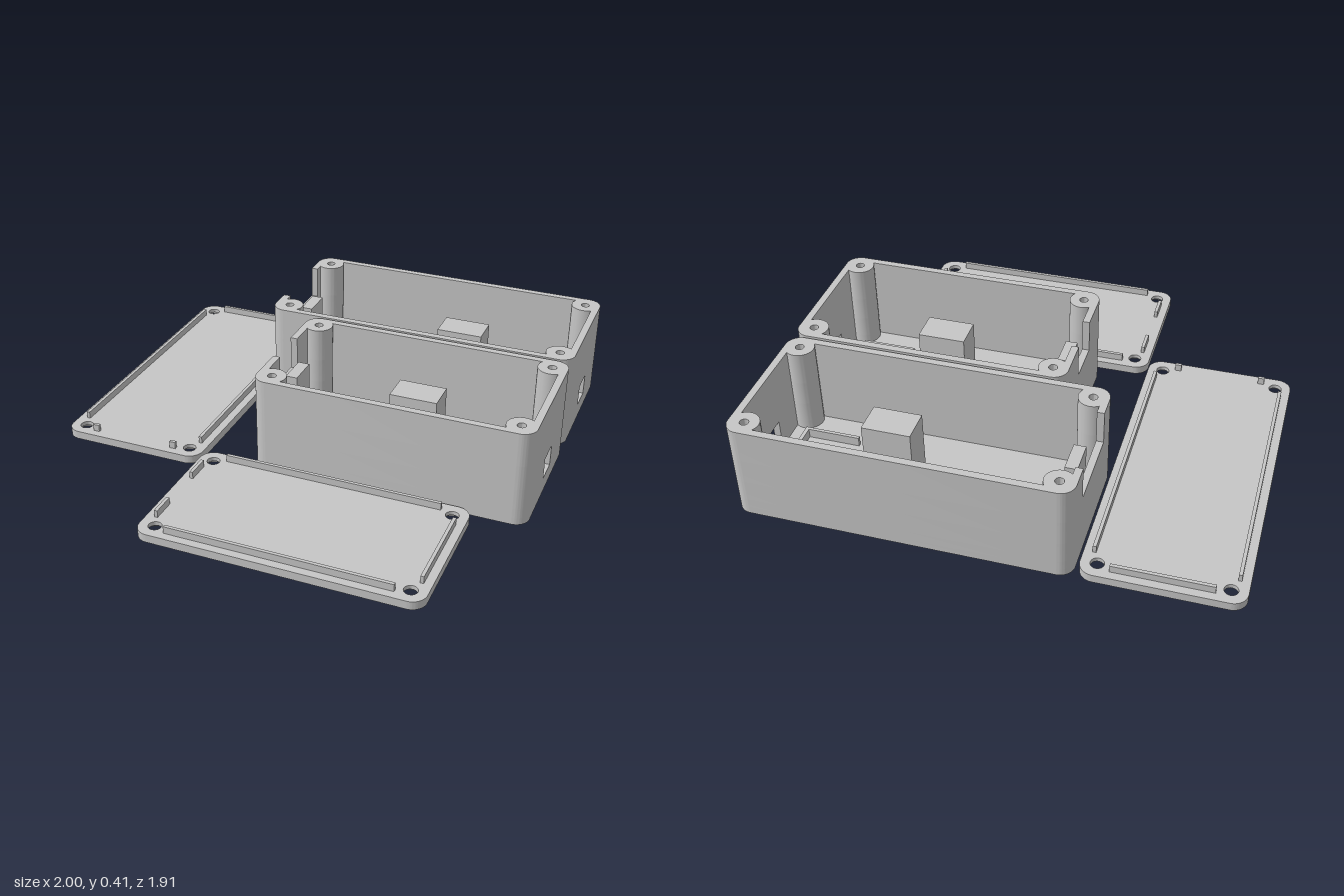
import * as THREE from 'three';
import { toCreasedNormals } from 'three/addons/utils/BufferGeometryUtils.js';

const HEIGHT = 0.407, FLOOR = 0.03, WALL = 0.03, WIDTH = 0.628;
const CORNER = 0.06, INSET = 0.065, POST = 0.06;
const LID = 0.035, RIB_TOP = 0.065, RIB = 0.014;
const CORNERS = [[1, 1], [-1, 1], [-1, -1], [1, -1]];

export function createModel() {
  const plastic = new THREE.MeshStandardMaterial({ color: 0xc6c6c6 });
  plastic.name = 'light grey plastic';

  const add = (parent, name, geometry) => {
    const mesh = new THREE.Mesh(geometry, plastic);
    mesh.name = name;
    parent.add(mesh);
    return mesh;
  };

  // Upright block given by its limits
  const block = (parent, name, x0, x1, y0, y1, z0, z1) =>
    add(parent, name, new THREE.BoxGeometry(x1 - x0, y1 - y0, z1 - z0))
      .position.set((x0 + x1) / 2, (y0 + y1) / 2, (z0 + z1) / 2);

  // Extrudes a plan shape upwards from y0 to y1
  const slab = (shape, y0, y1) => {
    const geometry = new THREE.ExtrudeGeometry(shape, { depth: y1 - y0, bevelEnabled: false, curveSegments: 12 });
    geometry.rotateX(-Math.PI / 2).translate(0, y0, 0);
    return toCreasedNormals(geometry, 0.6);
  };

  const traceOutline = (path, hx, hz) => CORNERS.forEach(([sx, sz], k) =>
    path.absarc(sx * (hx - CORNER), sz * (hz - CORNER), CORNER, k * Math.PI / 2, (k + 1) * Math.PI / 2, false));

  // Inside of the walls, bulging inwards around the four screw posts
  const traceCavity = (path, hx, hz) => {
    const a = Math.acos((INSET - WALL) / POST);
    [...CORNERS].reverse().forEach(([sx, sz], k) => {
      const turn = -k * Math.PI / 2;
      path.absarc(sx * (hx - INSET), sz * (hz - INSET), POST, a + turn, 1.5 * Math.PI - a + turn, false);
    });
  };

  const drill = (shape, x, z, radius) =>
    shape.holes.push(new THREE.Path().absarc(x, z, radius, 0, Math.PI * 2, true));

  const drillCorners = (shape, hx, hz, radius) =>
    CORNERS.forEach(([sx, sz]) => drill(shape, sx * (hx - INSET), sz * (hz - INSET), radius));

  const plate = (hx, hz) => {
    const shape = new THREE.Shape();
    traceOutline(shape, hx, hz);
    return shape;
  };

  // Wall plan; a gap above zero opens the +x wall by that half width
  const wallPlan = (hx, hz, gap = 0) => {
    const shape = new THREE.Shape();
    if (gap) {
      shape.moveTo(hx - WALL, gap);
      shape.lineTo(hx, gap);
      traceOutline(shape, hx, hz);
      shape.lineTo(hx, -gap);
      shape.lineTo(hx - WALL, -gap);
      traceCavity(shape, hx, hz);
      shape.closePath();
    } else {
      traceOutline(shape, hx, hz);
      const cavity = new THREE.Path();
      traceCavity(cavity, hx, hz);
      cavity.closePath();
      shape.holes.push(cavity);
    }
    drillCorners(shape, hx, hz, 0.018);
    return shape;
  };

  const makeCase = (name, length, notch) => {
    const group = new THREE.Group();
    group.name = name;
    const hx = length / 2, hz = WIDTH / 2;
    const portLow = 0.07, portHigh = 0.16, notchLow = 0.265;
    add(group, 'floor', slab(plate(hx, hz), 0, FLOOR));
    add(group, 'lowerWalls', slab(wallPlan(hx, hz), FLOOR, portLow));
    add(group, 'portWalls', slab(wallPlan(hx, hz, 0.055), portLow, portHigh));
    add(group, 'middleWalls', slab(wallPlan(hx, hz), portHigh, notchLow));
    add(group, 'notchedWalls', slab(wallPlan(hx, hz, notch), notchLow, HEIGHT)).rotation.y = Math.PI;

    // Supports standing on the floor
    block(group, 'centrePillar', hx - 0.652, hx - 0.452, FLOOR, 0.32, -0.0675, 0.0675);
    block(group, 'notchSupport', -hx + 0.045, -hx + 0.095, FLOOR, 0.31, -0.0675, 0.0675);

    // Low U-shaped tray behind the port
    block(group, 'trayEnd', hx - 0.112, hx - 0.096, FLOOR, 0.07, -0.155, 0.155);
    for (const s of [-1, 1]) {
      const z = s * 0.148;
      block(group, 'trayArm', hx - 0.332, hx - 0.112, FLOOR, 0.07, z - 0.007, z + 0.007);
    }
    return group;
  };

  const makeLid = (name, length, stub, recesses) => {
    const group = new THREE.Group();
    group.name = name;
    const hx = length / 2, hz = WIDTH / 2;

    // Lower layer has wide screw-head holes and shallow round recesses
    const lower = plate(hx, hz), upper = plate(hx, hz);
    drillCorners(lower, hx, hz, 0.048);
    recesses.forEach(x => drill(lower, x, 0, 0.044));
    drillCorners(upper, hx, hz, 0.027);
    add(group, 'lidUnderside', slab(lower, 0, 0.018));
    add(group, 'lidPlate', slab(upper, 0.018, LID));

    // Locating ribs
    const ex = hx - 0.117, ez = hz - 0.117, edge = 0.034;
    block(group, 'endRib', hx - edge - RIB, hx - edge, LID, RIB_TOP, -ez, ez);
    for (const s of [-1, 1]) {
      const z = s * (hz - edge - RIB / 2);
      block(group, 'sideRib', -ex, ex, LID, RIB_TOP, z - RIB / 2, z + RIB / 2);
      const c = s * (ez - stub / 2);
      block(group, 'stubRib', -hx + edge, -hx + edge + RIB, LID, RIB_TOP, c - stub / 2, c + stub / 2);
    }
    return group;
  };

  const model = new THREE.Group();
  model.name = 'enclosures';

  const longCase = makeCase('longCase', 1.356, 0.1625);
  longCase.position.set(0.322, 0, -0.641);
  const shortCase = makeCase('shortCase', 1.156, 0.09);
  shortCase.position.set(0.422, 0, 0);
  const longLid = makeLid('longLid', 1.357, 0.027, [0.14]);
  longLid.position.set(-0.686, 0, -0.2765);
  longLid.rotation.y = Math.PI / 2;
  const shortLid = makeLid('shortLid', 1.156, 0.1, [0.075, 0.185]);
  shortLid.position.set(0.215, 0, 0.641);

  model.add(longCase, shortCase, longLid, shortLid);
  return model;
}
